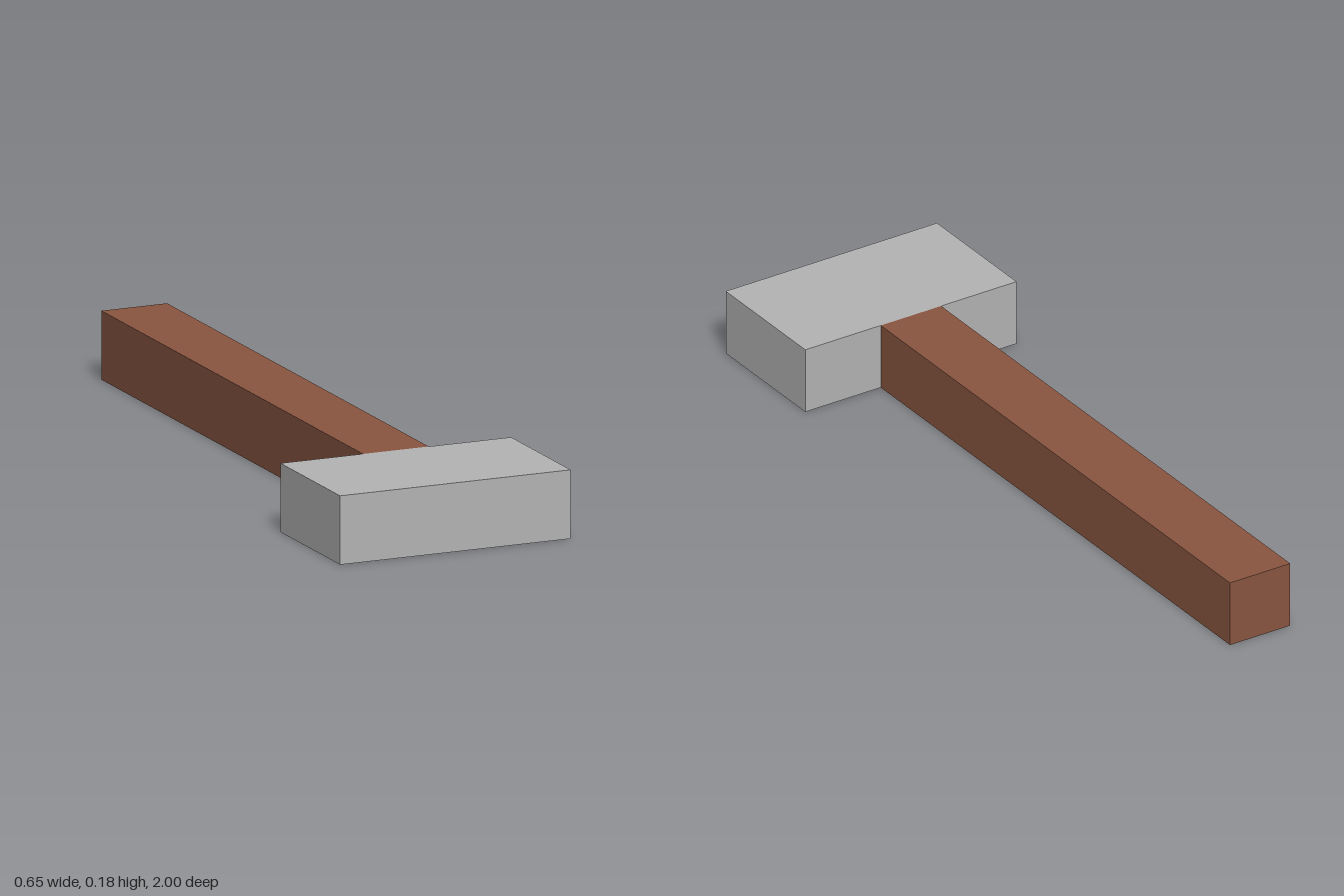
import * as THREE from 'three';

const THICKNESS = 0.183;

export function createModel() {
  const steel = new THREE.MeshStandardMaterial({ color: 0xb4b4b4 });
  steel.name = 'grey steel';
  const wood = new THREE.MeshStandardMaterial({ color: 0x8a5641 });
  wood.name = 'brown wood';

  const model = new THREE.Group();
  model.name = 'hammer';

  // Box of shared thickness, standing on the ground between two z positions
  function addBar(name, width, zBack, zFront, material) {
    const bar = new THREE.Mesh(new THREE.BoxGeometry(width, THICKNESS, zFront - zBack), material);
    bar.name = name;
    bar.position.set(0, THICKNESS / 2, (zBack + zFront) / 2);
    model.add(bar);
  }

  // Block head at the front, square handle running to the back
  addBar('head', 0.652, 0.629, 1, steel);
  addBar('handle', 0.186, -1, 0.629, wood);

  return model;
}
